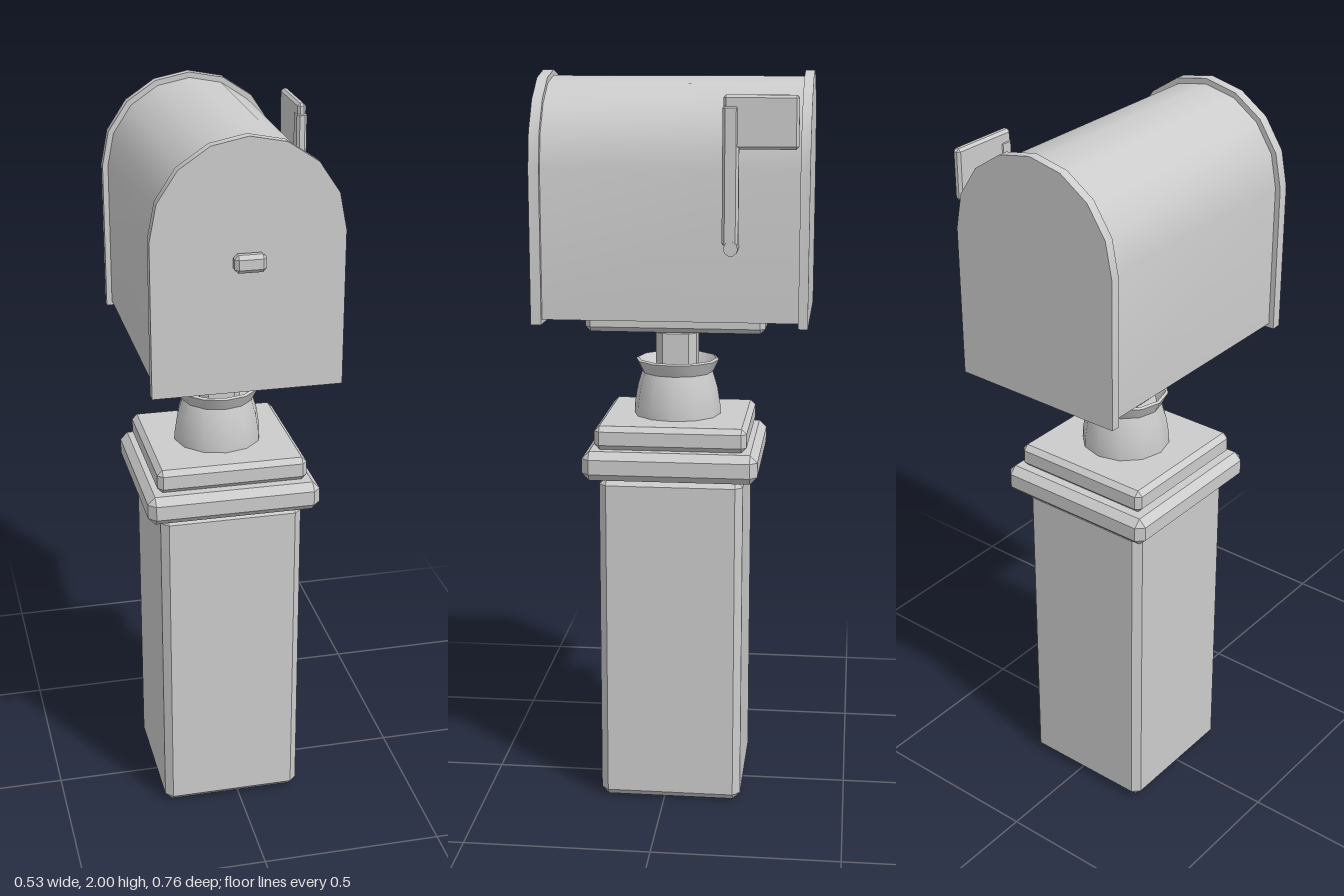
import * as THREE from 'three';
import { toCreasedNormals } from 'three/addons/utils/BufferGeometryUtils.js';
import { ConvexGeometry } from 'three/addons/geometries/ConvexGeometry.js';

const CX = -0.02, CZ = -0.017; // axis of the post

export function createModel() {
  const model = new THREE.Group();
  model.name = 'mailbox';
  const grey = new THREE.MeshStandardMaterial({ color: 0xcccccc });
  grey.name = 'light grey';

  const add = (name, geometry) => {
    const mesh = new THREE.Mesh(geometry, grey);
    mesh.name = name;
    model.add(mesh);
    return mesh;
  };

  // Box with every edge and corner chamfered, given by its limits on each axis
  const chamferBox = (name, [x0, x1], [y0, y1], [z0, z1], c) => {
    const h = [(x1 - x0) / 2, (y1 - y0) / 2, (z1 - z0) / 2];
    const points = [];
    for (const sx of [-1, 1]) for (const sy of [-1, 1]) for (const sz of [-1, 1]) {
      for (let face = 0; face < 3; face++) {
        const p = h.map((v, i) => (i === face ? v : v - c));
        points.push(new THREE.Vector3(sx * p[0], sy * p[1], sz * p[2]));
      }
    }
    const mesh = add(name, new ConvexGeometry(points));
    mesh.position.set((x0 + x1) / 2, (y0 + y1) / 2, (z0 + z1) / 2);
    return mesh;
  };
  const centred = (name, w, y0, y1, d, c) =>
    chamferBox(name, [CX - w / 2, CX + w / 2], [y0, y1], [CZ - d / 2, CZ + d / 2], c);

  // Arched slab: straight sides under an eight-sided half round
  const arch = (name, r, yBottom, z0, z1) => {
    const shape = new THREE.Shape();
    shape.moveTo(-r, yBottom);
    shape.lineTo(r, yBottom);
    for (let i = 0; i <= 8; i++) {
      const a = (i / 8) * Math.PI;
      shape.lineTo(r * Math.cos(a), 1.755 + r * Math.sin(a));
    }
    shape.closePath();
    const geometry = new THREE.ExtrudeGeometry(shape, { depth: z1 - z0, bevelEnabled: false });
    add(name, toCreasedNormals(geometry, 0.5)).position.set(CX, 0, z0);
  };

  // Post and its stepped cap
  centred('post', 0.39, 0, 0.925, 0.39, 0.02);
  centred('lowerCap', 0.472, 0.925, 1.005, 0.472, 0.02);
  centred('upperCap', 0.41, 1.005, 1.07, 0.41, 0.014);

  // Turned neck with a flared, dished rim
  const profile = [
    [0.12, 1.065], [0.119, 1.095], [0.111, 1.145], [0.098, 1.188],
    [0.115, 1.222], [0.108, 1.226], [0.085, 1.19], [0, 1.19],
  ].map(([x, y]) => new THREE.Vector2(x, y));
  add('neck', toCreasedNormals(new THREE.LatheGeometry(profile, 12), 0.6))
    .position.set(CX, 0, CZ);

  // Stem and mounting plate
  centred('stem', 0.112, 1.18, 1.32, 0.112, 0.02);
  centred('mountingPlate', 0.157, 1.305, 1.365, 0.49, 0.014);

  // Box with its door and back plate
  arch('body', 0.23, 1.362, -0.36, 0.322);
  arch('door', 0.245, 1.35, 0.317, 0.345);
  arch('backPlate', 0.245, 1.35, -0.38, -0.355);
  chamferBox('doorKnob', [-0.061, 0.02], [1.67, 1.716], [0.343, 0.377], 0.01);

  // Signal flag on the left side
  chamferBox('flagArm', [0.232, 0.26], [1.565, 1.92], [-0.2, -0.158], 0.007);
  chamferBox('flagBoard', [0.234, 0.257], [1.81, 1.945], [-0.351, -0.16], 0.007);
  const pivot = add('flagPivot', new THREE.CylinderGeometry(0.019, 0.019, 0.06, 10));
  pivot.rotation.z = Math.PI / 2;
  pivot.position.set(0.232, 1.56, -0.181);

  return model;
}
